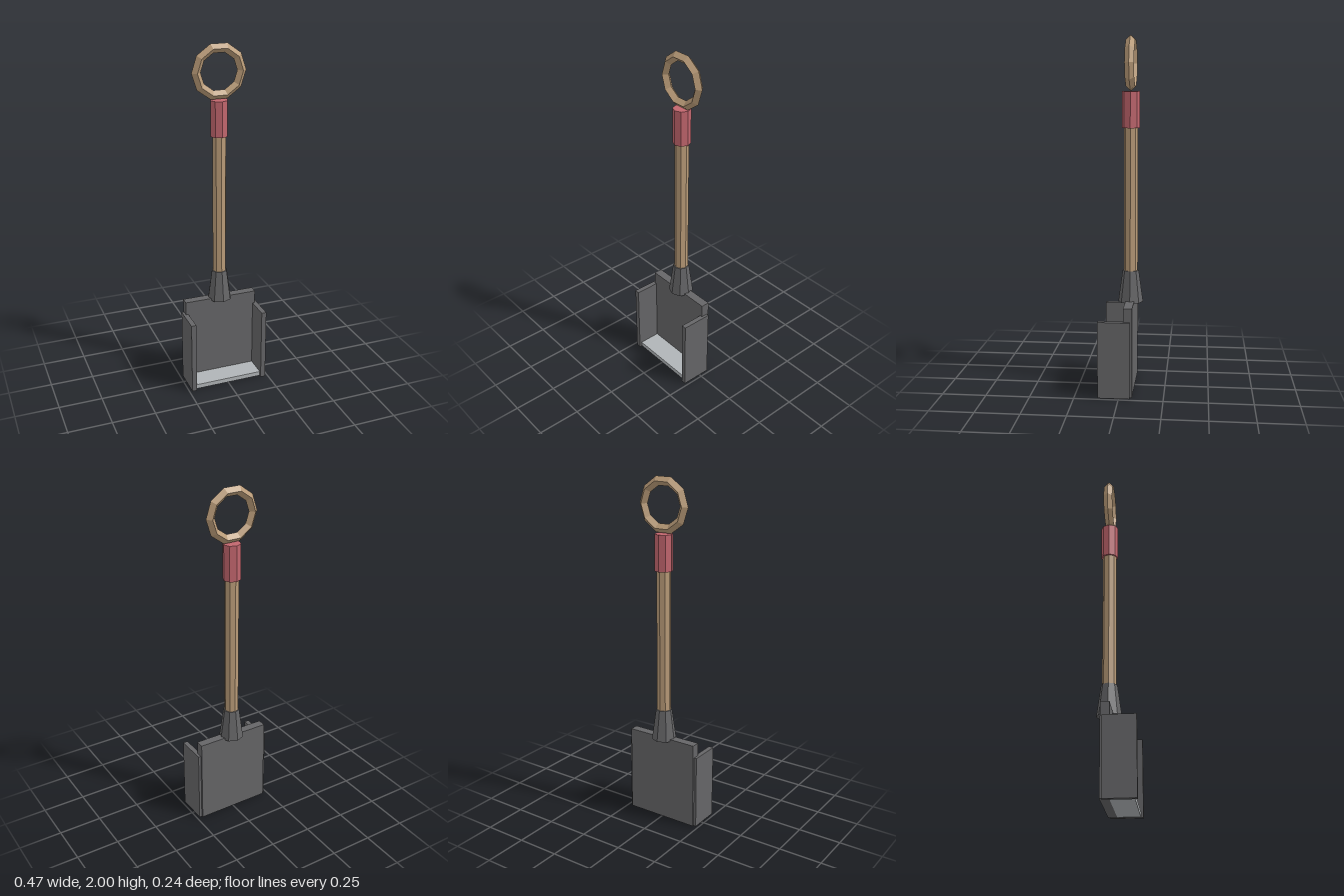
import * as THREE from 'three';

export function createModel() {
  const model = new THREE.Group();
  model.name = 'shovel';
  const makeMaterial = (name, color) => {
    const m = new THREE.MeshStandardMaterial({ color, flatShading: true });
    m.name = name;
    return m;
  };
  const darkMetal = makeMaterial('dark metal', 0x656567);
  const lightMetal = makeMaterial('light metal', 0xb0b4b7);
  const wood = makeMaterial('wood', 0xb99b78);
  const red = makeMaterial('red grip', 0xc2666e);
  const axisZ = -0.049;

  const add = (name, geometry, material, x, y, z) => {
    const mesh = new THREE.Mesh(geometry, material);
    mesh.name = name;
    mesh.position.set(x, y, z);
    model.add(mesh);
  };
  // Box given by its lower and upper corners
  const box = (name, material, [x0, y0, z0], [x1, y1, z1]) =>
    add(name, new THREE.BoxGeometry(x1 - x0, y1 - y0, z1 - z0), material,
      (x0 + x1) / 2, (y0 + y1) / 2, (z0 + z1) / 2);
  // Eight-sided rod on the handle axis
  const rod = (name, material, rTop, rBottom, y0, y1) =>
    add(name, new THREE.CylinderGeometry(rTop, rBottom, y1 - y0, 8), material, 0, (y0 + y1) / 2, axisZ);

  // Scoop: back plate, raised sides and bright cutting lip
  box('backPlate', darkMetal, [-0.218, 0.003, -0.074], [0.218, 0.515, -0.024]);
  box('leftSide', darkMetal, [0.204, 0, -0.062], [0.233, 0.437, 0.118]);
  box('rightSide', darkMetal, [-0.233, 0, -0.062], [-0.204, 0.437, 0.118]);
  box('lip', lightMetal, [-0.204, 0.003, -0.024], [0.204, 0.03, 0.104]);

  // Handle: socket, shaft, grip and ring
  rod('socket', darkMetal, 0.046, 0.071, 0.503, 0.685);
  rod('shaft', wood, 0.04, 0.04, 0.6, 1.55);
  rod('grip', red, 0.05, 0.05, 1.495, 1.697);
  add('ringHandle', new THREE.TorusGeometry(0.131, 0.026, 4, 10), wood, 0, 1.851, axisZ);
  return model;
}
